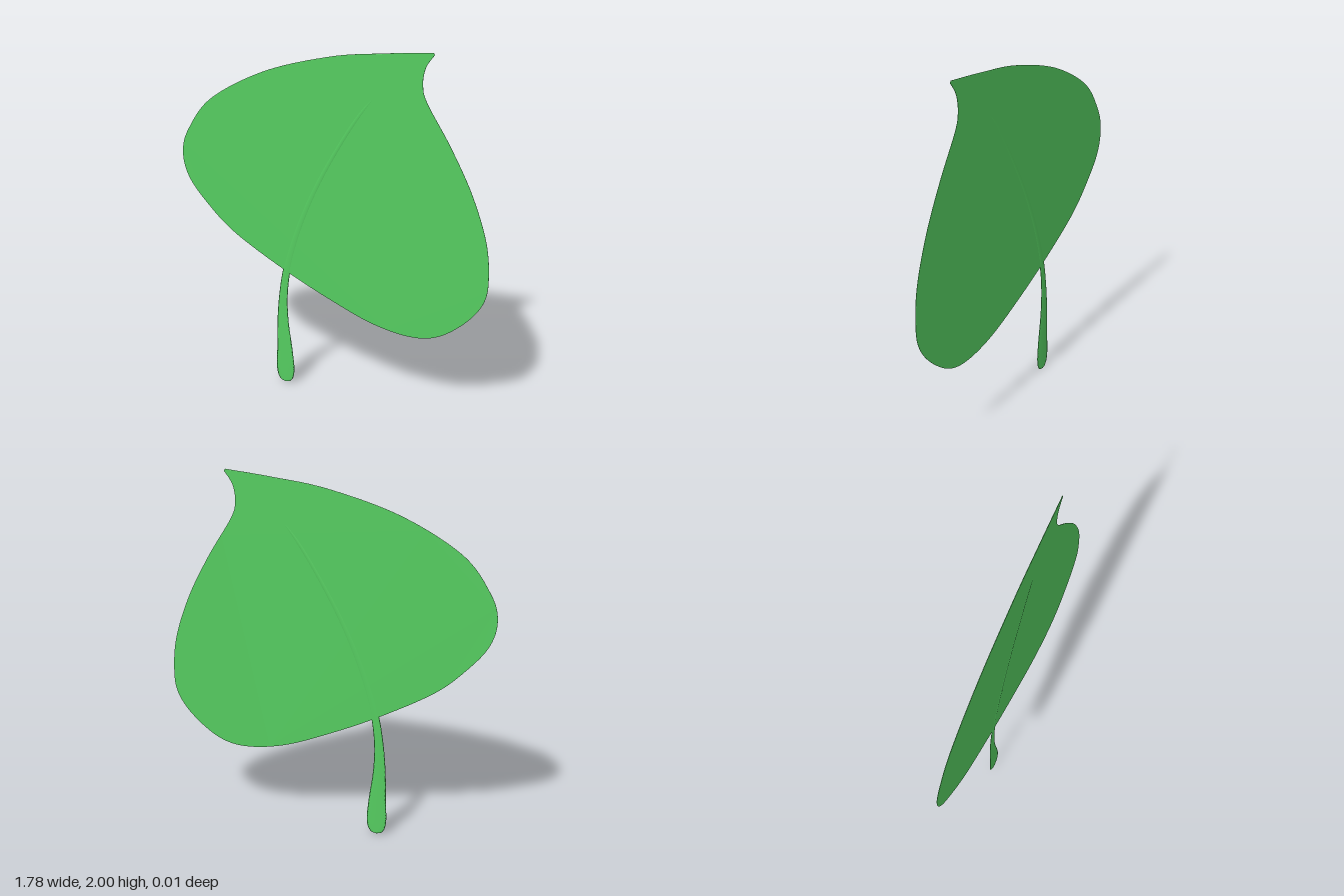
import * as THREE from 'three';

const green = new THREE.MeshStandardMaterial({ color: 0x55cc60 });
const vec2 = (list) => list.map(([x, y]) => new THREE.Vector2(x, y));

// Thin blade: one spline outline with a sharp tip and softly bevelled rim
function makeBlade() {
  const shape = new THREE.Shape();
  shape.moveTo(0.553, 2.0);
  shape.splineThru(vec2([
    [0.3, 1.972], [0, 1.926], [-0.38, 1.81], [-0.7, 1.63], [-0.85, 1.44], [-0.893, 1.3],
    [-0.86, 1.16], [-0.75, 1.02], [-0.58, 0.87], [-0.28, 0.7], [0, 0.57], [0.25, 0.475],
    [0.47, 0.441], [0.63, 0.475], [0.78, 0.59], [0.87, 0.72], [0.889, 0.86], [0.865, 1.06],
    [0.78, 1.3], [0.66, 1.53], [0.53, 1.74], [0.503, 1.83], [0.515, 1.92], [0.56, 1.99],
  ]));
  const geometry = new THREE.ExtrudeGeometry(shape, {
    depth: 0.002, curveSegments: 120,
    bevelEnabled: true, bevelThickness: 0.001, bevelSize: 0.003, bevelOffset: -0.003, bevelSegments: 1,
  });
  geometry.translate(0, 0, -0.001);
  const mesh = new THREE.Mesh(geometry, green);
  mesh.name = 'leafBlade';
  return mesh;
}

// Flattened loft along a curve whose points hold x, y and half width
function makeLoft(name, points, thickness) {
  const curve = new THREE.CatmullRomCurve3(points.map((p) => new THREE.Vector3(...p)), false, 'centripetal');
  const rows = 80, sides = 12;
  const positions = [], index = [];
  for (let i = 0; i <= rows; i++) {
    const p = curve.getPoint(i / rows);
    const t = curve.getTangent(i / rows);
    const len = Math.hypot(t.x, t.y) || 1;
    const w = Math.max(p.z, 0);
    const h = thickness * Math.min(1, w / 0.012);
    for (let j = 0; j < sides; j++) {
      const a = (j / sides) * Math.PI * 2;
      const s = Math.cos(a) * w;
      positions.push(p.x + (t.y / len) * s, p.y - (t.x / len) * s, Math.sin(a) * h);
      if (i < rows) {
        const k = (j + 1) % sides;
        const q = i * sides;
        index.push(q + j, q + sides + j, q + k, q + k, q + sides + j, q + sides + k);
      }
    }
  }
  // Sides run counter-clockwise seen against the path, so flip to face outward
  for (let i = 0; i < index.length; i += 3) {
    const a = index[i + 1];
    index[i + 1] = index[i + 2];
    index[i + 2] = a;
  }
  const geometry = new THREE.BufferGeometry();
  geometry.setAttribute('position', new THREE.Float32BufferAttribute(positions, 3));
  geometry.setIndex(index);
  geometry.computeVertexNormals();
  const mesh = new THREE.Mesh(geometry, green.clone());
  mesh.material.side = THREE.DoubleSide;
  mesh.name = name;
  return mesh;
}

export function createModel() {
  const group = new THREE.Group();
  group.name = 'leaf';
  group.add(makeBlade());

  // Stem with a rounded, swollen foot, running on as the tapering midrib
  group.add(makeLoft('stemAndMidrib', [
    [-0.278, 0, 0], [-0.278, 0.008, 0.028], [-0.278, 0.03, 0.045], [-0.278, 0.08, 0.055],
    [-0.281, 0.2, 0.049], [-0.29, 0.38, 0.035], [-0.285, 0.54, 0.026], [-0.262, 0.7, 0.022],
    [-0.2, 0.92, 0.018], [-0.1, 1.17, 0.015], [0.03, 1.42, 0.012], [0.18, 1.66, 0.01], [0.34, 1.85, 0],
  ], 0.0035));
  return group;
}
